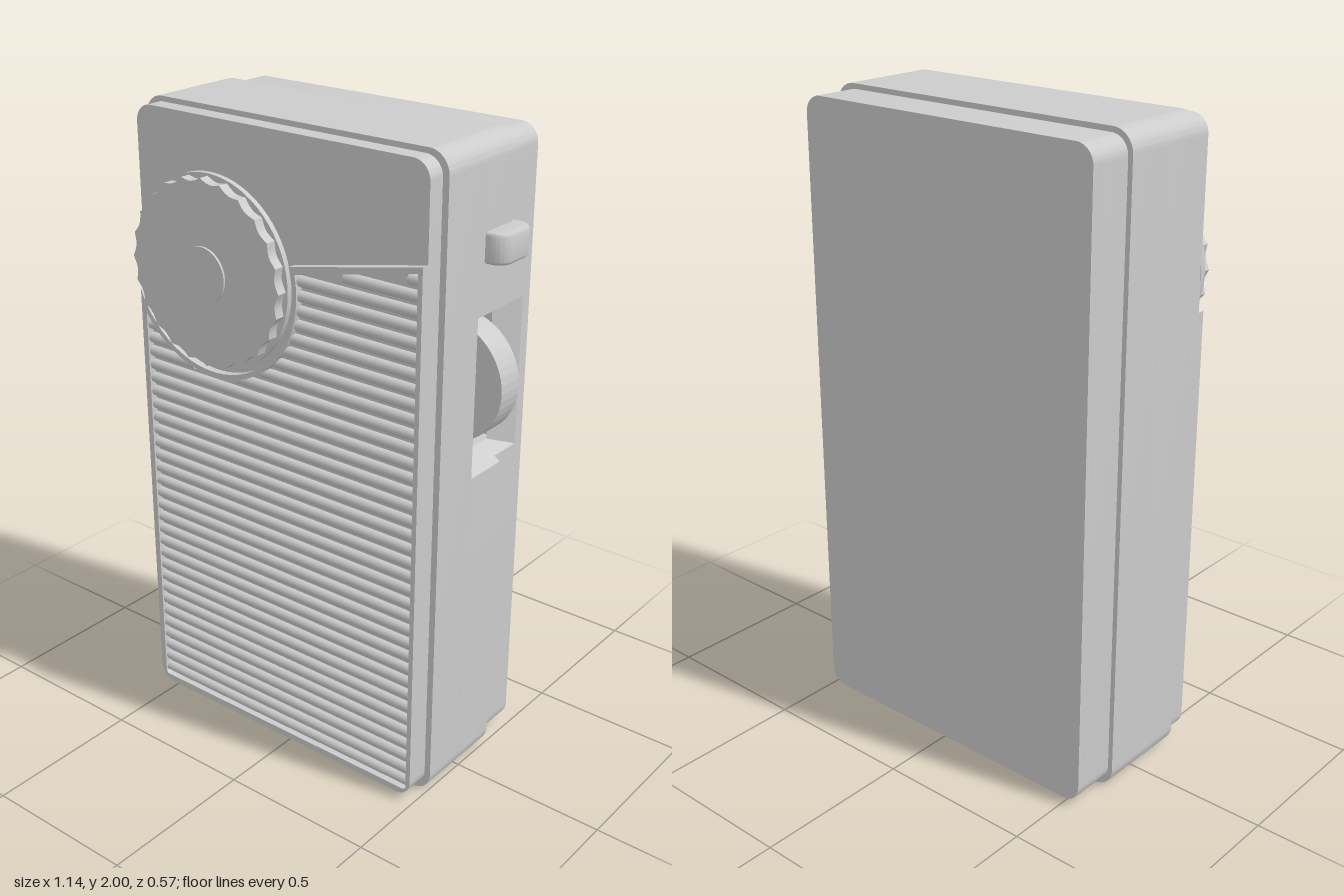
import * as THREE from 'three';
import { toCreasedNormals } from 'three/addons/utils/BufferGeometryUtils.js';

const grey = new THREE.MeshStandardMaterial({ color: 0xcccccc });
const flat = new THREE.MeshStandardMaterial({ color: 0xcccccc, flatShading: true });
const thin = new THREE.MeshStandardMaterial({ color: 0xcccccc, side: THREE.DoubleSide });

const DIAL = { x: -0.265, y: 1.535 };
const WHEEL_Y = 1.26;

export function createModel() {
  const model = new THREE.Group();

  const add = (name, geometry, material = grey, x = 0, y = 0, z = 0) => {
    const mesh = new THREE.Mesh(geometry, material);
    mesh.name = name;
    mesh.position.set(x, y, z);
    model.add(mesh);
    return mesh;
  };

  const extrude = (shape, z0, z1, bevel = 0) => {
    const g = new THREE.ExtrudeGeometry(shape, {
      depth: z1 - z0 - 2 * bevel, curveSegments: 10, bevelEnabled: bevel > 0,
      bevelSize: bevel, bevelThickness: bevel, bevelOffset: -bevel, bevelSegments: 3,
    });
    g.translate(0, 0, z0 + bevel);
    return toCreasedNormals(g, 0.6);
  };

  // Rounded outline, optionally notched on the +x side for the wheel well
  const outline = (x0, x1, y0, y1, r, notch = 0) => {
    const s = new THREE.Shape();
    s.moveTo(x0 + r, y0);
    s.lineTo(x1 - r, y0);
    s.absarc(x1 - r, y0 + r, r, -Math.PI / 2, 0);
    if (notch) {
      s.lineTo(x1, WHEEL_Y - notch);
      s.lineTo(0.16, WHEEL_Y - notch);
      s.lineTo(0.16, WHEEL_Y + notch);
      s.lineTo(x1, WHEEL_Y + notch);
    }
    s.absarc(x1 - r, y1 - r, r, 0, Math.PI / 2);
    s.absarc(x0 + r, y1 - r, r, Math.PI / 2, Math.PI);
    s.absarc(x0 + r, y0 + r, r, Math.PI, Math.PI * 1.5);
    return s;
  };
  const band = (notch) => outline(-0.57, 0.51, 0, 2, 0.065, notch);
  const inner = (notch) => outline(-0.555, 0.49, 0.018, 1.984, 0.055, notch);

  // Case: back shell, wider middle band and front panel
  add('backShell', extrude(inner(0), -0.285, -0.25));
  add('backShellNotched', extrude(inner(0.233), -0.25, -0.14));
  add('middleBandNotched', extrude(band(0.245), -0.14, 0.01));
  add('middleBand', extrude(band(0), 0.01, 0.17));
  add('frontPanel', extrude(inner(0), 0.17, 0.225));

  // Sloping walls of the wheel well
  const pos = [];
  const fan = (pts) => {
    for (let i = 1; i < pts.length - 1; i++) pos.push(...pts[0], ...pts[i], ...pts[i + 1]);
  };
  for (const s of [1, -1]) {
    fan([[0.44, s * 0.203, -0.06], [0.51, s * 0.245, 0.01], [0.51, s * 0.245, -0.14],
      [0.49, s * 0.233, -0.14], [0.49, s * 0.233, -0.25], [0.44, s * 0.203, -0.17]]);
  }
  fan([[0.51, 0.245, 0.01], [0.44, 0.203, -0.06], [0.44, -0.203, -0.06], [0.51, -0.245, 0.01]]);
  fan([[0.49, 0.233, -0.25], [0.44, 0.203, -0.17], [0.44, -0.203, -0.17], [0.49, -0.233, -0.25]]);
  const well = new THREE.BufferGeometry();
  well.setAttribute('position', new THREE.Float32BufferAttribute(pos, 3));
  well.computeVertexNormals();
  add('wheelWell', well, thin, 0, WHEEL_Y, 0);

  // Volume wheel, turning about z
  const wheel = new THREE.CylinderGeometry(0.19, 0.19, 0.09, 48).rotateX(Math.PI / 2);
  add('volumeWheel', wheel, flat, 0.358, WHEEL_Y, -0.115);

  // Side switch, rounded on its outer corners
  const knob = new THREE.Shape();
  knob.moveTo(0.48, -0.165);
  knob.lineTo(0.525, -0.165);
  knob.absarc(0.525, -0.12, 0.045, -Math.PI / 2, 0);
  knob.absarc(0.525, -0.055, 0.045, 0, Math.PI / 2);
  knob.lineTo(0.48, -0.01);
  add('sideSwitch', extrude(knob, -0.045, 0.045, 0.01).rotateX(Math.PI / 2), grey, 0, 1.7, 0);

  // Grille frame: the top edge curves round the dial, then slopes up to the right
  const slope = 0.095 / 0.46;
  const grilleTop = (x) => 1.615 + (x - 0.03) * slope;
  const grilleOutline = (x0, x1, y0, r, drop, corner) => {
    const s = new THREE.Shape();
    const aEnd = Math.asin((1.615 - drop - DIAL.y) / r);
    const aStart = -Math.PI + Math.acos((DIAL.x - x0) / r);
    s.moveTo(x0 + corner, y0);
    s.lineTo(x1 - corner, y0);
    s.absarc(x1 - corner, y0 + corner, corner, -Math.PI / 2, 0);
    s.lineTo(x1, grilleTop(x1) - drop);
    for (let i = 0; i <= 32; i++) {
      const a = aEnd + (aStart - aEnd) * i / 32;
      s.lineTo(DIAL.x + r * Math.cos(a), DIAL.y + r * Math.sin(a));
    }
    s.lineTo(x0, y0 + corner);
    s.absarc(x0 + corner, y0 + corner, corner, Math.PI, Math.PI * 1.5);
    return s;
  };
  const frame = grilleOutline(-0.555, 0.49, 0.018, 0.312, 0, 0.055);
  frame.holes.push(grilleOutline(-0.535, 0.475, 0.04, 0.328, 0.018, 0.012));
  add('grilleFrame', extrude(frame, 0.225, 0.248));

  // Grille slats, trimmed to the frame
  const slats = new THREE.Group();
  slats.name = 'grilleSlats';
  model.add(slats);
  const slat = (x0, x1, y) => {
    if (x1 - x0 < 0.01) return;
    const g = new THREE.CylinderGeometry(0.017, 0.017, x1 - x0, 12).rotateZ(Math.PI / 2);
    const m = new THREE.Mesh(g, grey);
    m.name = 'slat';
    m.position.set((x0 + x1) / 2, y, 0.227);
    slats.add(m);
  };
  for (let i = 0; i < 37; i++) {
    const y = 0.062 + i * 0.0445;
    const d = y - DIAL.y;
    const half = Math.abs(d) < 0.328 ? Math.sqrt(0.328 ** 2 - d * d) : 0;
    const sloped = 0.03 + (y + 0.035 - 1.615) / slope;
    if (half === 0) {
      slat(-0.535, 0.475, y);
    } else {
      if (d < 0) slat(-0.535, DIAL.x - half, y);
      slat(Math.max(DIAL.x + half, sloped), 0.475, y);
    }
  }

  // Tuning dial: base disc, scalloped knob and centre cap
  const disc = (r, depth) => new THREE.CylinderGeometry(r, r, depth, 64).rotateX(Math.PI / 2);
  add('dialBase', disc(0.292, 0.02), grey, DIAL.x, DIAL.y, 0.232);
  const scallop = new THREE.Shape();
  const flutes = 24, steps = 6;
  for (let i = 0; i < flutes * steps; i++) {
    const a = i / (flutes * steps) * Math.PI * 2;
    const r = 0.285 - 0.012 * Math.sin((i % steps) / steps * Math.PI);
    if (i === 0) scallop.moveTo(r, 0);
    else scallop.lineTo(r * Math.cos(a), r * Math.sin(a));
  }
  add('dialKnob', extrude(scallop, 0.24, 0.274), grey, DIAL.x, DIAL.y);
  add('dialCap', disc(0.085, 0.02), grey, DIAL.x, DIAL.y, 0.271);

  return model;
}
